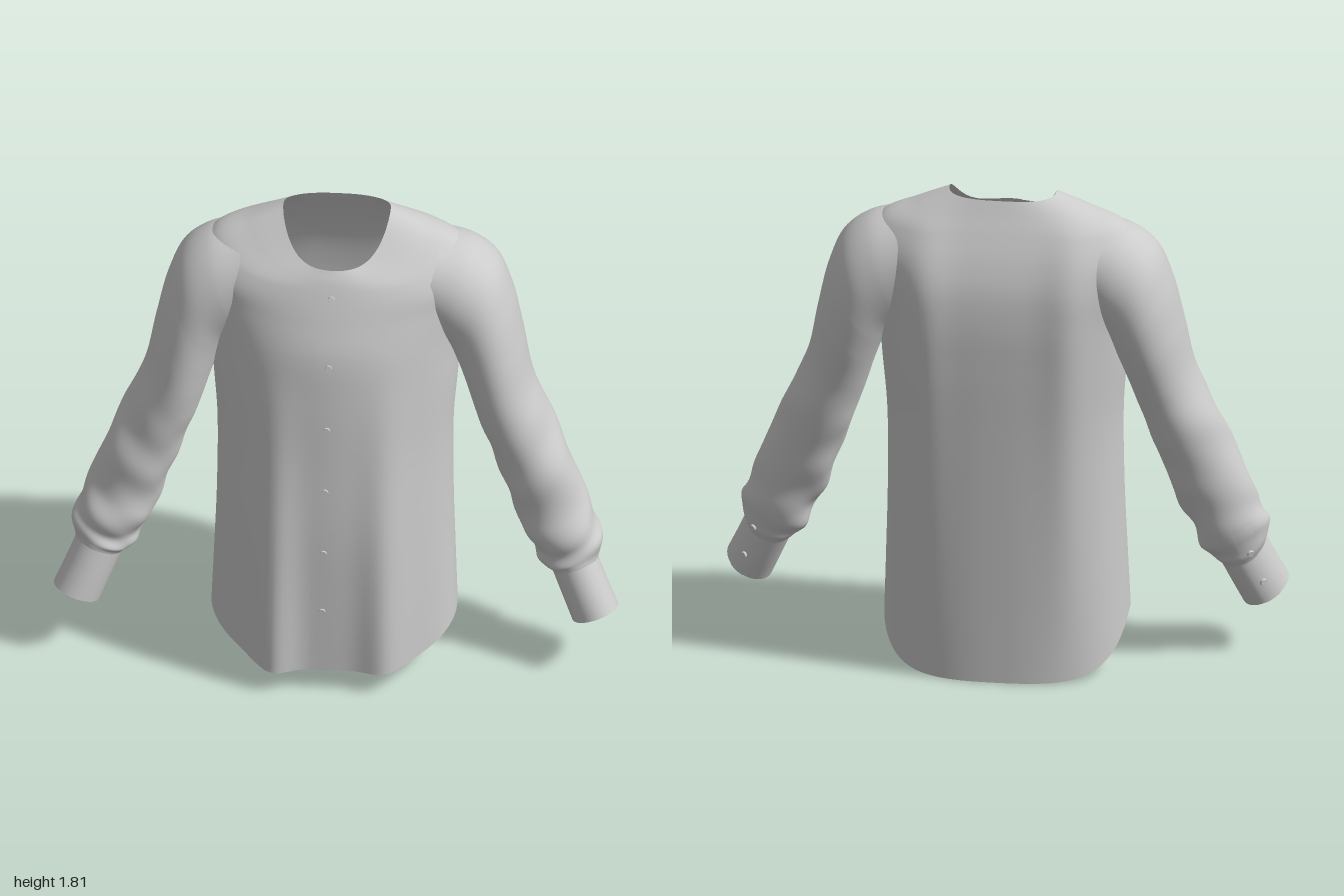
import * as THREE from 'three';

const fabric = new THREE.MeshStandardMaterial({ color: 0xcccccc, side: THREE.DoubleSide });
const V = (x, y, z) => new THREE.Vector3(x, y, z);
const curve = pts => new THREE.CatmullRomCurve3(pts.map(p => V(...p)));
const smooth = THREE.MathUtils.smoothstep;

// Smooth sheet from a rule f(u, v); u may wrap round into a tube
function sheet(name, f, u0, u1, nu, nv, closed) {
  const pos = [], idx = [], cols = closed ? nu : nu + 1;
  for (let j = 0; j <= nv; j++) {
    for (let i = 0; i < cols; i++) pos.push(...f(u0 + (u1 - u0) * i / nu, j / nv).toArray());
  }
  for (let j = 0; j < nv; j++) {
    for (let i = 0; i < nu; i++) {
      const a = j * cols + i, b = j * cols + (i + 1) % cols;
      idx.push(a, a + cols, b, b, a + cols, b + cols);
    }
  }
  const g = new THREE.BufferGeometry();
  g.setAttribute('position', new THREE.Float32BufferAttribute(pos, 3));
  g.setIndex(idx);
  g.computeVertexNormals();
  const m = new THREE.Mesh(g, fabric);
  m.name = name;
  return m;
}

// Torso guide lines from hem to neckline: front, side and back
const front = curve([[0, .085, .325], [0, .35, .315], [0, .65, .3], [0, .95, .27], [0, 1.2, .242],
  [0, 1.38, .213], [0, 1.5, .17], [0, 1.57, .142], [0, 1.62, .12], [0, 1.65, .105], [0, 1.68, .085]]);
const side = curve([[.434, .16, .02], [.425, .4, 0], [.417, .65, -.02], [.417, .95, -.04], [.432, 1.15, -.06],
  [.445, 1.33, -.08], [.475, 1.5, -.1], [.49, 1.61, -.11], [.43, 1.7, -.11], [.31, 1.757, -.11], [.19, 1.81, -.12]]);
const back = curve([[0, 0, -.345], [0, .3, -.348], [0, .65, -.352], [0, .95, -.356], [0, 1.2, -.36],
  [0, 1.37, -.358], [0, 1.5, -.342], [0, 1.6, -.31], [0, 1.69, -.268], [0, 1.75, -.236], [0, 1.8, -.21]]);
const offset = -.012; // the body hangs slightly to one side

function torsoPoint(a, t) {
  const c = Math.cos(a), s = Math.sin(a), isFront = s >= 0;
  const p = side.getPoint(t), e = (isFront ? front : back).getPoint(t);
  const pw = isFront ? 1 : 2 / 2.6;
  const k = Math.abs(s) ** pw;
  const x = p.x * Math.sign(c) * Math.abs(c) ** pw;
  const bump = (at, w) => Math.exp(-(((Math.abs(x) - at) / w) ** 2));
  // soft vertical drape folds
  const drape = isFront ? (x < 0 ? .078 : .06) * (1 - smooth(t, 0, .55)) * bump(.21, .085)
    : -.028 * Math.sin(Math.PI * t) * bump(.27, .09);
  return V(x + offset, p.y + (e.y - p.y) * k * k * (3 - 2 * k), p.z + (e.z - p.z) * k + drape * k);
}
// Angle on the torso front for a given x, and height along it for a given y
const frontAngle = (x, t) => Math.acos((x - offset) / side.getPoint(t).x);
function heightToT(y) {
  let lo = 0, hi = 1;
  for (let i = 0; i < 30; i++) {
    const m = (lo + hi) / 2;
    if (front.getPoint(m).y < y) lo = m; else hi = m;
  }
  return lo;
}

// Sleeve guide lines: outer edge, inner edge, and (z centre, half depth, tilt)
const sleeveLines = [
  curve([[.36, 1.715, 0], [.47, 1.683, 0], [.557, 1.613, 0], [.61, 1.49, 0], [.65, 1.32, 0], [.69, 1.13, 0],
    [.765, .96, 0], [.83, .8, 0], [.885, .65, 0], [.93, .54, 0], [.933, .47, 0], [.922, .425, 0]]),
  curve([[.27, 1.4, 0], [.34, 1.32, 0], [.385, 1.27, 0], [.415, 1.21, 0], [.445, 1.13, 0], [.48, 1.02, 0],
    [.53, .87, 0], [.59, .7, 0], [.65, .55, 0], [.695, .44, 0], [.735, .39, 0], [.765, .367, 0]]),
  curve([[-.11, .175, 0], [-.11, .192, 0], [-.108, .198, 0], [-.1, .198, 0], [-.083, .19, 0], [-.06, .17, 0],
    [-.045, .15, .05], [-.02, .13, .1], [0, .12, .15], [.02, .115, .2], [.038, .106, .25], [.05, .096, .3]])];
const cuffLines = [
  curve([[.921, .435, 0], [.96, .345, 0], [.998, .262, 0]]),
  curve([[.762, .37, 0], [.8, .28, 0], [.836, .195, 0]]),
  curve([[.05, .097, .3], [.078, .097, .3], [.105, .095, .3]])];

// Point on a sleeve ring; angle 0 is the outer edge, a quarter turn is the back
function ringPoint(lines, a, t, s, grow) {
  const [p, q, z] = lines.map(l => l.getPoint(t));
  const c = Math.cos(a) * grow, w = -Math.sin(a) * z.y * grow;
  return V(s * ((p.x + q.x) / 2 + (p.x - q.x) / 2 * c), (p.y + q.y) / 2 + (p.y - q.y) / 2 * c + w * z.z, z.x + w);
}
// Sleeve surface with slanting creases from the elbow to the cuff
const sleevePoint = (s, lift) => (a, t) => {
  const gather = smooth(t, .42, .65) * (1 - smooth(t, .9, 1)) * (1 - .6 * Math.max(0, Math.cos(a - 1.1)));
  const crease = Math.sin(t * 46 + 3 * Math.sin(a)) * .04 + Math.sin(t * 30 - 2 * a) * .035 + Math.sin(t * 70 + 3 * a) * .014;
  return ringPoint(sleeveLines, a, t, s, 1 + crease * gather + lift);
};
const cuffPoint = (s, lift) => (a, t) => ringPoint(cuffLines, a, t, s, 1 + lift);

// Round button lying on a surface along its outward normal
function button(name, f, u, v, s) {
  const p = f(u, v), e = .01;
  const n = f(u, v + e).sub(p).cross(f(u + e, v).sub(p)).normalize().multiplyScalar(s);
  const m = new THREE.Mesh(new THREE.CylinderGeometry(.011, .013, .008, 20), fabric);
  m.quaternion.setFromUnitVectors(V(0, 1, 0), n);
  m.position.copy(p).addScaledVector(n, .005);
  m.name = name;
  return m;
}

export function createModel() {
  const shirt = new THREE.Group();
  shirt.name = 'shirt';
  shirt.add(sheet('body', torsoPoint, 0, Math.PI * 2, 128, 90, true));

  // Button placket, a narrow band over the front opening
  const placket = (u, t) => {
    const x = -.05 - .03 * (1 - t) + .075 * (1 - u);
    return torsoPoint(frontAngle(x, t), t).add(V(0, 0, .004));
  };
  shirt.add(sheet('frontPlacket', placket, 0, 1, 6, 80, false));
  for (const y of [1.59, 1.35, 1.1, .845, .59, .34]) {
    const t = heightToT(y);
    shirt.add(button('frontButton', torsoPoint, frontAngle(-.04 + .016 * y, t), t, 1));
  }

  // Sleeves, cuffs and cuff fastenings on both sides
  for (const s of [1, -1]) {
    const arm = new THREE.Group();
    arm.name = s > 0 ? 'leftSleeve' : 'rightSleeve';
    // the mirrored side runs its angles backwards to keep faces outward
    const span = (a, b) => (s > 0 ? [a, b] : [b, a]);
    const turn = span(0, Math.PI * 2), band = span(.75, 1.4);
    arm.add(sheet('sleeve', sleevePoint(s, 0), ...turn, 64, 120, true));
    arm.add(sheet('cuff', cuffPoint(s, 0), ...turn, 64, 10, true));
    // slit band above the cuff and the cuff overlap, on the back of the wrist
    const slit = (a, t) => sleevePoint(s, .04)(a, .78 + .22 * t);
    const overlap = cuffPoint(s, .03);
    arm.add(sheet('sleevePlacket', slit, ...band, 8, 20, false));
    arm.add(sheet('cuffOverlap', overlap, ...band, 8, 8, false));
    arm.add(button('cuffButton', overlap, 1.08, .55, s));
    arm.add(button('sleeveButton', slit, 1.08, .6, s));
    shirt.add(arm);
  }
  return shirt;
}
